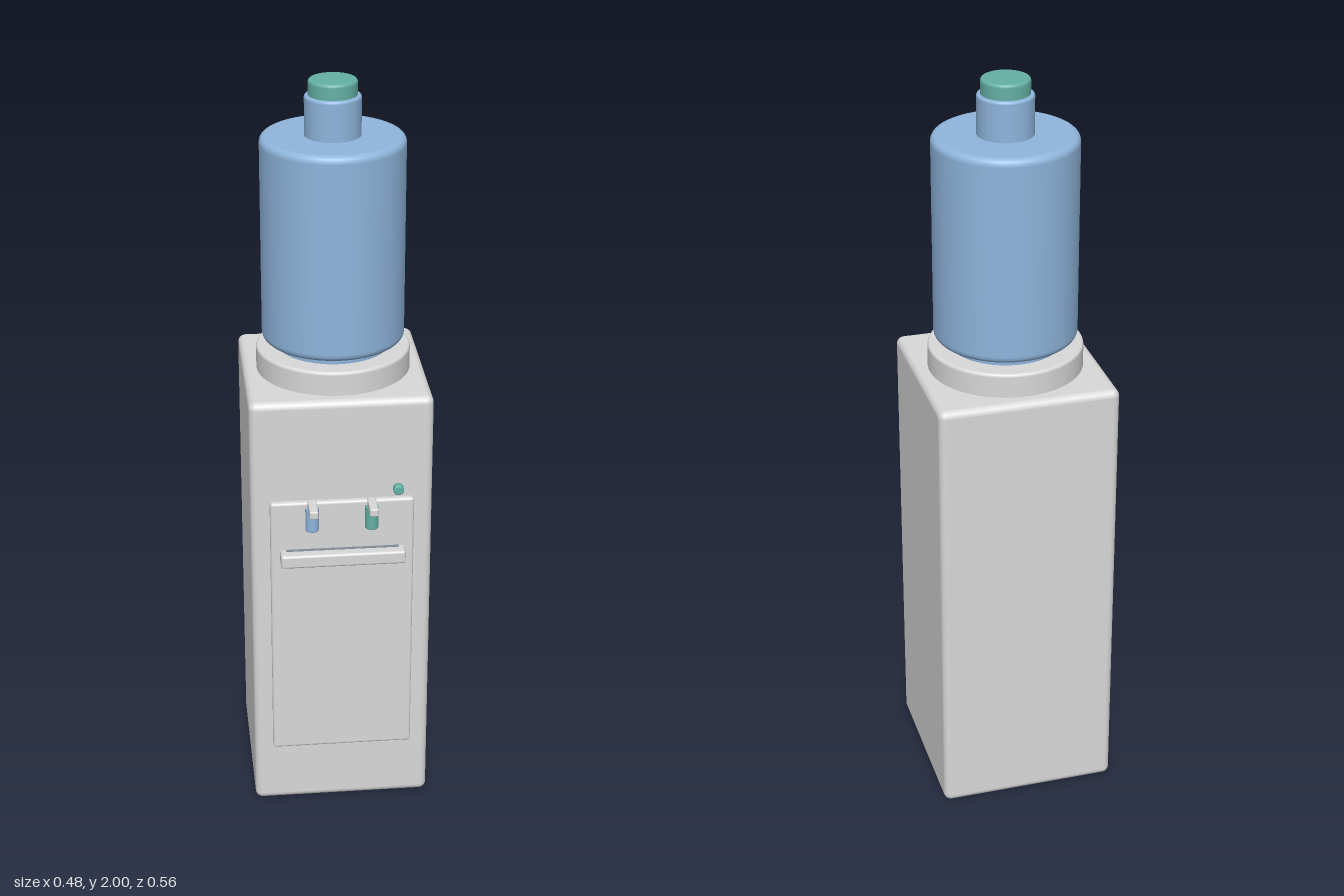
import * as THREE from 'three';
import { RoundedBoxGeometry } from 'three/addons/geometries/RoundedBoxGeometry.js';

const mat = (name, color) => Object.assign(new THREE.MeshStandardMaterial({ color }), { name });

// Upright cylinder with rounded rims, centred on its own axis
function roundedCylinder(r, y0, y1, bevel, segments = 64) {
  const pts = [new THREE.Vector2(0, y0), new THREE.Vector2(r - bevel * 1.1, y0)];
  const steps = 5;
  for (const [cy, start] of [[y0 + bevel, -Math.PI / 2], [y1 - bevel, 0]]) {
    for (let i = 0; i <= steps; i++) {
      const a = start + (i / steps) * Math.PI / 2;
      pts.push(new THREE.Vector2(r - bevel + Math.cos(a) * bevel, cy + Math.sin(a) * bevel));
    }
    // Support points keep the straight wall shaded flat
    if (start < 0) {
      pts.push(new THREE.Vector2(r, y0 + bevel * 1.1), new THREE.Vector2(r, y1 - bevel * 1.1));
    }
  }
  pts.push(new THREE.Vector2(r - bevel * 1.1, y1), new THREE.Vector2(0, y1));
  return new THREE.LatheGeometry(pts, segments);
}

export function createModel() {
  const casing = mat('casing grey', 0xd8d8d8);
  const blue = mat('bottle blue', 0x8fb5dc);
  const teal = mat('cap teal', 0x64b0a4);
  const slate = mat('grille slate', 0x868c94);

  const model = new THREE.Group();
  model.name = 'waterDispenser';
  const add = (name, geometry, material, x = 0, y = 0, z = 0) => {
    const mesh = new THREE.Mesh(geometry, material);
    mesh.name = name;
    mesh.position.set(x, y, z);
    model.add(mesh);
    return mesh;
  };
  // Rounded box given by its limits along each axis
  const box = (name, material, [x0, x1], [y0, y1], [z0, z1], radius) =>
    add(name, new RoundedBoxGeometry(x1 - x0, y1 - y0, z1 - z0, 4, radius), material,
      (x0 + x1) / 2, (y0 + y1) / 2, (z0 + z1) / 2);

  // Cabinet and front panel
  box('cabinet', casing, [-0.24, 0.24], [0, 1.22], [-0.28, 0.2], 0.02);
  box('frontPanel', casing, [-0.19, 0.19], [0.18, 0.94], [0.185, 0.215], 0.008);

  // Bottle stack
  const axisZ = -0.04;
  add('bottleCollar', roundedCylinder(0.204, 1.21, 1.285, 0.008), casing, 0, 0, axisZ);
  add('bottleSeat', roundedCylinder(0.15, 1.28, 1.31, 0.003), blue, 0, 0, axisZ);
  add('bottle', roundedCylinder(0.188, 1.305, 1.855, 0.018), blue, 0, 0, axisZ);
  add('bottleNeck', roundedCylinder(0.073, 1.84, 1.96, 0.007), blue, 0, 0, axisZ);
  add('bottleCap', roundedCylinder(0.063, 1.95, 2, 0.008), teal, 0, 0, axisZ);

  // Drip tray with a grille strip on top
  box('dripTray', casing, [-0.165, 0.165], [0.765, 0.802], [0.205, 0.253], 0.007);
  add('trayGrille', new THREE.BoxGeometry(0.3, 0.006, 0.012), slate, 0, 0.8, 0.219);

  // Taps: coloured nozzle with a lever pointing forward
  for (const [side, x, material] of [['right', -0.08, blue], ['left', 0.077, teal]]) {
    add(side + 'TapNozzle', roundedCylinder(0.018, 0.86, 0.926, 0.003, 32), material, x, 0, 0.217);
    box(side + 'TapLever', casing, [x - 0.0115, x + 0.0115], [0.922, 0.944], [0.205, 0.278], 0.004);
  }

  // Indicator light
  const light = add('indicatorLight', roundedCylinder(0.014, -0.015, 0.013, 0.004, 32), teal, 0.148, 0.965, 0.206);
  light.rotation.x = Math.PI / 2;

  return model;
}
